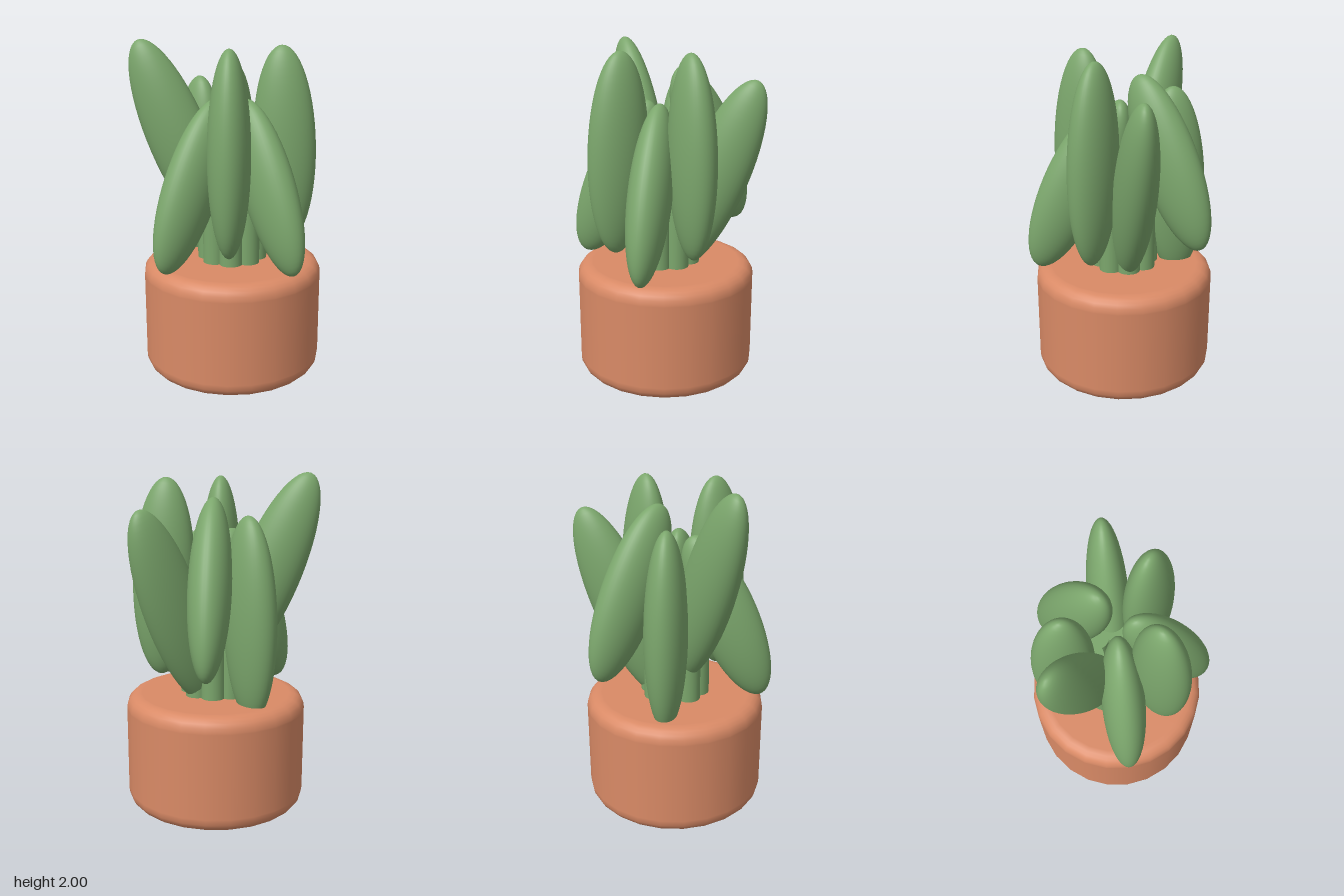
import * as THREE from 'three';

const leafMat = new THREE.MeshStandardMaterial({ color: 0x7ba66c });
const potMat = new THREE.MeshStandardMaterial({ color: 0xd98a66 });

// Leaves in 45 degree steps from the front: centre height, half length, outward lean
const LEAVES = [
  { y: 1.185, half: 0.527, lean: -0.42 },
  { y: 1.38, half: 0.59, lean: -0.04 },
  { y: 1.185, half: 0.527, lean: -0.42 },
  { y: 1.38, half: 0.59, lean: -0.04 },
  { y: 1.23, half: 0.62, lean: 0.38 },
  { y: 1.375, half: 0.53, lean: -0.42 },
  { y: 1.18, half: 0.59, lean: -0.04 },
  { y: 1.41, half: 0.63, lean: 0.38 },
];

// Solid round pot with softly rounded rims
function makePot(radius, height, bevel) {
  const profile = [new THREE.Vector2(0, 0), new THREE.Vector2(radius - bevel - 0.01, 0)];
  const steps = 5;
  const corner = (cy, start) => {
    for (let i = 0; i <= steps; i++) {
      const a = start + (i / steps) * Math.PI / 2;
      profile.push(new THREE.Vector2(radius - bevel + bevel * Math.cos(a), cy + bevel * Math.sin(a)));
    }
  };
  corner(bevel, -Math.PI / 2);
  profile.push(new THREE.Vector2(radius, bevel + 0.01), new THREE.Vector2(radius, height - bevel - 0.01));
  corner(height - bevel, 0);
  profile.push(new THREE.Vector2(radius - bevel - 0.01, height), new THREE.Vector2(0, height));
  const pot = new THREE.Mesh(new THREE.LatheGeometry(profile, 24), potMat);
  pot.name = 'pot';
  return pot;
}

export function createModel() {
  const model = new THREE.Group();
  model.name = 'pottedSucculent';
  const plant = new THREE.Group();
  plant.name = 'plant';
  plant.position.x = -0.02;
  model.add(plant);
  plant.add(makePot(0.54, 0.69, 0.08));

  const leafGeo = new THREE.SphereGeometry(1, 40, 28);
  const stemGeo = new THREE.CylinderGeometry(0.07, 0.07, 0.6, 20);

  LEAVES.forEach(({ y, half, lean }, i) => {
    const branch = new THREE.Group();
    branch.name = 'branch' + (i + 1);
    branch.rotation.y = i * Math.PI / 4;

    // Flattened ellipsoid, edge facing outward
    const leaf = new THREE.Mesh(leafGeo, leafMat);
    leaf.name = 'leaf';
    leaf.scale.set(0.123, half, 0.185);
    leaf.position.set(0, y, 0.31);
    leaf.rotation.x = lean;

    // Upright stem rising from the pot
    const stem = new THREE.Mesh(stemGeo, leafMat);
    stem.name = 'stem';
    stem.position.set(0, 0.95, 0.14);

    branch.add(leaf, stem);
    plant.add(branch);
  });
  return model;
}
